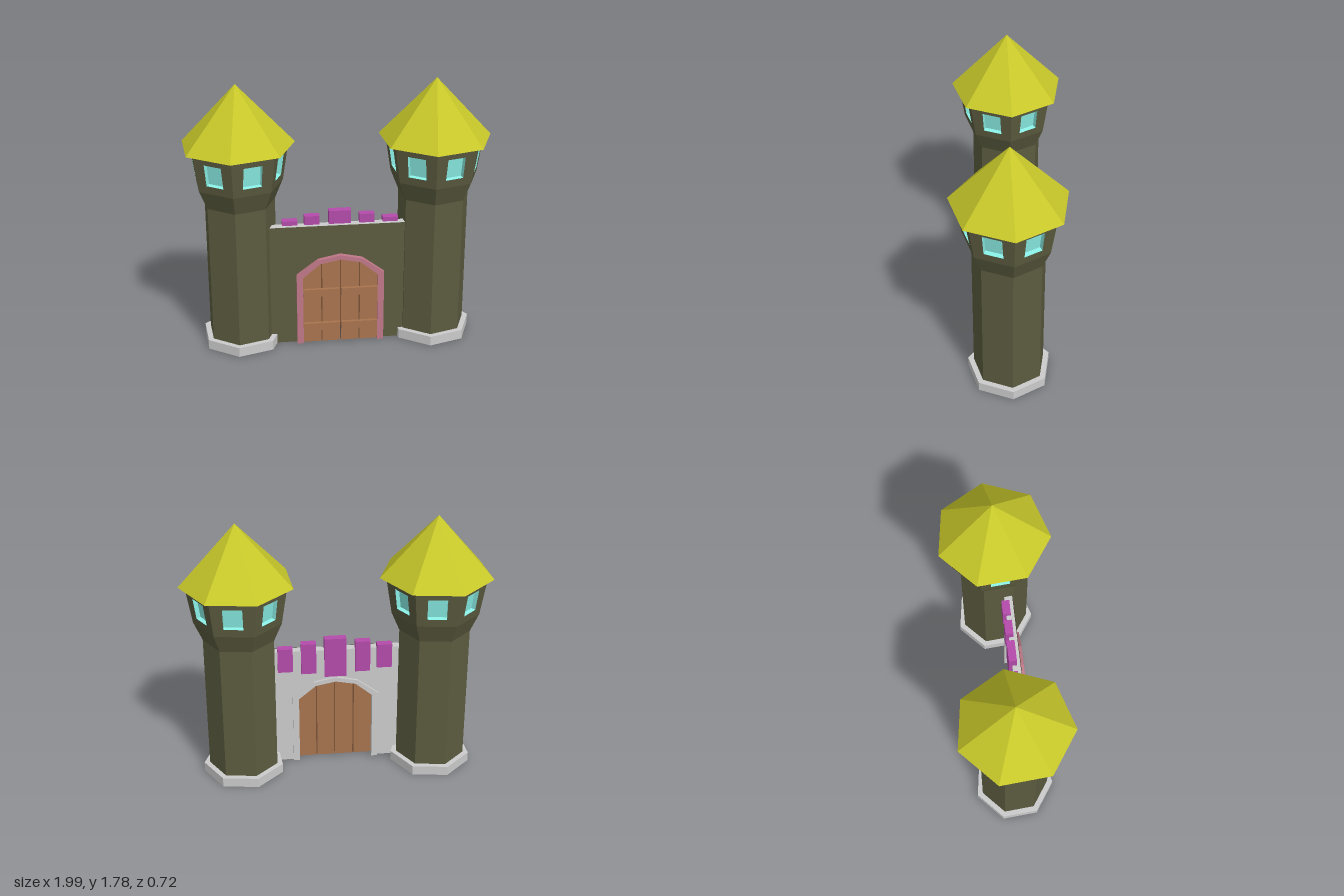
import * as THREE from 'three';

const mat = (color) => new THREE.MeshStandardMaterial({ color, flatShading: true, side: THREE.DoubleSide });
const stone = mat(0xcccccc), wallGreen = mat(0x5c5c40), roofYellow = mat(0xc8c82a), glass = mat(0x8af0e6);
const purple = mat(0xb54cab), pink = mat(0xc07888), wood = mat(0xa8744e), darkWood = mat(0x7a5236);

const SIDES = 7;
const STEP = (Math.PI * 2) / SIDES;
const START = THREE.MathUtils.degToRad(94.6);

function add(parent, name, geometry, material, x = 0, y = 0, z = 0) {
  const g = geometry.index ? geometry.toNonIndexed() : geometry;
  g.computeVertexNormals();
  const mesh = new THREE.Mesh(g, material);
  mesh.name = name;
  mesh.position.set(x, y, z);
  parent.add(mesh);
  return mesh;
}

// Box given by its limits on each axis
function block(parent, name, material, [x0, x1], [y0, y1], [z0, z1]) {
  return add(parent, name, new THREE.BoxGeometry(x1 - x0, y1 - y0, z1 - z0), material,
    (x0 + x1) / 2, (y0 + y1) / 2, (z0 + z1) / 2);
}

const polygon = (pts) => new THREE.Shape(pts.map(([x, y]) => new THREE.Vector2(x, y)));
const lathe = (pts) => new THREE.LatheGeometry(pts.map(([r, y]) => new THREE.Vector2(r, y)), SIDES, START, Math.PI * 2);

function slab(parent, name, material, pts, z0, z1) {
  const g = new THREE.ExtrudeGeometry(polygon(pts), { depth: z1 - z0, bevelEnabled: false });
  return add(parent, name, g, material, 0, 0, z0);
}

// Pointed-looking arch outline, from the left foot over the top to the right foot
const MID = -0.005;
const arch = (half, spring, midX, midY, top) => [
  [-half, 0], [-half, spring], [-midX, midY], [0, top], [midX, midY], [half, spring], [half, 0],
].map(([x, y]) => [x + MID, y]);
const OUTER = arch(0.29, 0.5, 0.147, 0.607, 0.638);
const INNER = arch(0.248, 0.485, 0.135, 0.58, 0.607);

// Height of the door opening at x
function archHeight(x) {
  for (let i = 1; i < 5; i++) {
    const [ax, ay] = INNER[i], [bx, by] = INNER[i + 1];
    if (x >= ax - 1e-6 && x <= bx + 1e-6) return ay + ((by - ay) * (x - ax)) / (bx - ax);
  }
  return INNER[1][1];
}

// Upright board whose top follows the arch
function board(parent, name, material, x0, x1, z0, z1) {
  const knots = INNER.slice(2, 5).map((p) => p[0]).filter((x) => x > x0 + 0.002 && x < x1 - 0.002);
  const top = [x0, ...knots, x1].map((x) => [x, archHeight(x)]);
  slab(parent, name, material, [[x0, 0.005], ...top, [x1, 0.005]], z0, z1);
}

function makeTower(name) {
  const tower = new THREE.Group();
  tower.name = name;
  add(tower, 'towerBase', lathe([[0.273, 0], [0.273, 0.065], [0.235, 0.065]]), stone);
  add(tower, 'towerShaft', lathe([[0.235, 0.005], [0.235, 1.0], [0.29, 1.13]]), wallGreen);

  // Flared lookout: seven leaning panels, each with a recessed window
  const r0 = 0.29, r1 = 0.33, rise = 0.25;
  const inset = Math.cos(STEP / 2), w0 = r0 * Math.sin(STEP / 2), w1 = r1 * Math.sin(STEP / 2);
  const lean = Math.atan2((r1 - r0) * inset, rise);
  const len = rise / Math.cos(lean);
  const hw = 0.062, lo = 0.054, hi = 0.2, depth = 0.03;
  const panel = polygon([[-w0, 0], [w0, 0], [w1, len], [-w1, len]]);
  panel.holes.push(new THREE.Path([[-hw, lo], [-hw, hi], [hw, hi], [hw, lo]].map(([x, y]) => new THREE.Vector2(x, y))));
  for (let i = 0; i < SIDES; i++) {
    const turn = new THREE.Group();
    turn.name = 'lookoutSide';
    turn.rotation.y = START + STEP * (i + 0.5);
    const face = new THREE.Group();
    face.name = 'lookoutPanel';
    face.position.set(0, 1.13, r0 * inset);
    face.rotation.x = lean;
    turn.add(face);
    tower.add(turn);
    add(face, 'lookoutWall', new THREE.ShapeGeometry(panel), wallGreen);
    const y = (lo + hi) / 2;
    add(face, 'windowPane', new THREE.PlaneGeometry(hw * 2, hi - lo), glass, 0, y, -depth);
    for (const s of [-1, 1]) {
      const jamb = add(face, 'windowJamb', new THREE.PlaneGeometry(depth, hi - lo), glass, s * hw, y, -depth / 2);
      jamb.rotation.y = -s * Math.PI / 2;
      const ledge = add(face, 'windowLedge', new THREE.PlaneGeometry(hw * 2, depth), glass, 0, y + s * (hi - lo) / 2, -depth / 2);
      ledge.rotation.x = s * Math.PI / 2;
    }
  }

  add(tower, 'towerRoof', new THREE.ConeGeometry(0.372, 0.4, SIDES, 1, false, START), roofYellow, 0, 1.58, 0);
  return tower;
}

function makeGate() {
  const gate = new THREE.Group();
  gate.name = 'gate';

  // Curtain wall with the doorway cut out; the front is painted
  const outline = [[-0.48, 0], [-0.48, 0.84], [0.46, 0.84], [0.46, 0], ...[...OUTER].reverse()];
  slab(gate, 'curtainWall', stone, outline, 0.045, 0.099);
  add(gate, 'wallFront', new THREE.ShapeGeometry(polygon(outline)), wallGreen, 0, 0, 0.102);

  // Merlons, taller towards the middle
  for (const [x0, x1, y0, y1] of [
    [-0.38, -0.28, 0.7, 0.87], [-0.235, -0.135, 0.68, 0.9], [-0.075, 0.07, 0.65, 0.93],
    [0.125, 0.225, 0.68, 0.9], [0.28, 0.38, 0.7, 0.87],
  ]) block(gate, 'merlon', purple, [x0, x1], [y0, y1], [0.022, 0.075]);

  // Door frame running through the wall
  const ring = [...OUTER, ...[...INNER].reverse()];
  slab(gate, 'frameBack', stone, ring, 0.028, 0.1);
  slab(gate, 'frameFront', pink, ring, 0.1, 0.133);

  // Two door leaves: backing, planks and cross straps
  for (const [name, x0, x1] of [['leftDoor', 0, 0.243], ['rightDoor', -0.253, -0.006]]) {
    const door = new THREE.Group();
    door.name = name;
    gate.add(door);
    const mid = (x0 + x1) / 2;
    board(door, 'doorBacking', darkWood, x0, x1, 0.085, 0.108);
    for (const [z0, z1] of [[0.075, 0.085], [0.108, 0.122]]) {
      board(door, 'plank', wood, x0, mid - 0.004, z0, z1);
      board(door, 'plank', wood, mid + 0.004, x1, z0, z1);
    }
    for (const y of [0.1, 0.35]) block(door, 'strap', wood, [x0 + 0.002, x1 - 0.004], [y, y + 0.052], [0.122, 0.145]);
  }
  return gate;
}

export function createModel() {
  const model = new THREE.Group();
  model.name = 'castleGate';
  for (const [name, x] of [['rightTower', -0.65], ['leftTower', 0.625]]) {
    const tower = makeTower(name);
    tower.position.set(x, 0, -0.006);
    model.add(tower);
  }
  model.add(makeGate());
  return model;
}
